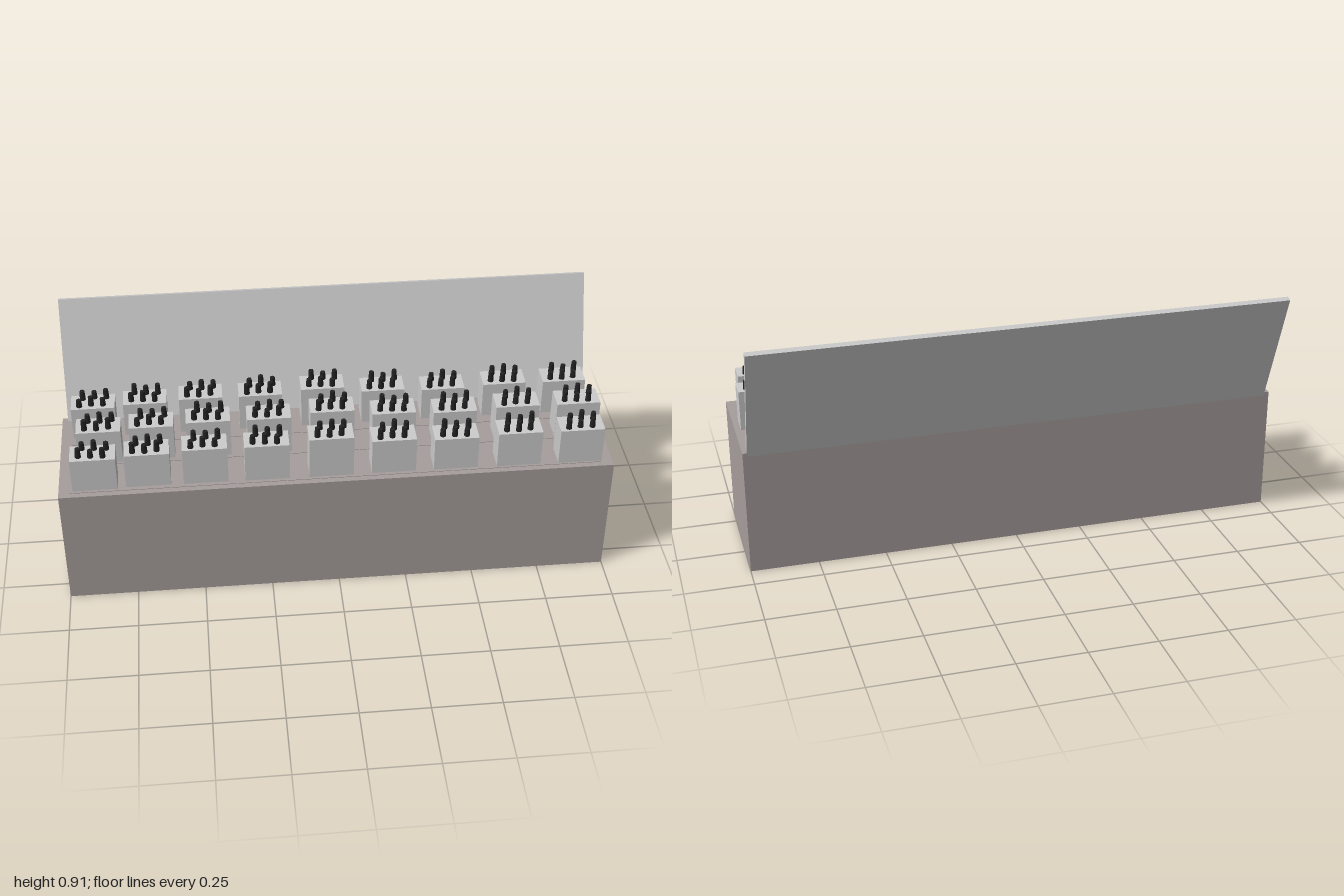
import * as THREE from 'three';

const GREY = new THREE.MeshStandardMaterial({ color: 0xcccccc });
const BROWN = new THREE.MeshStandardMaterial({ color: 0xa69d9c });
const BLACK = new THREE.MeshStandardMaterial({ color: 0x222222 });

function box(name, w, h, d, x, y, z, material) {
  const mesh = new THREE.Mesh(new THREE.BoxGeometry(w, h, d), material);
  mesh.name = name;
  mesh.position.set(x, y, z);
  return mesh;
}

// Carton with two rows of three bottle necks poking out of the top
function makeCarton(height, seed) {
  const carton = new THREE.Group();
  carton.name = 'carton';
  carton.add(box('cartonBox', 0.16, height, 0.088, 0, height / 2, 0, GREY));
  for (let i = 0; i < 6; i++) {
    const col = i % 3, row = Math.floor(i / 3);
    const h = 0.03 + 0.004 * ((i * 2 + seed) % 4);
    const neck = new THREE.Mesh(new THREE.CylinderGeometry(0.009, 0.011, h, 8), BLACK);
    neck.name = 'bottleNeck';
    neck.position.set((col - 1) * 0.043 + (row ? -0.006 : 0.006), height + h / 2,
      (row ? 0.022 : -0.022) + 0.003 * ((i + seed) % 3 - 1));
    carton.add(neck);
  }
  return carton;
}

export function createModel() {
  const model = new THREE.Group();
  model.name = 'openChest';

  // Chest body
  model.add(box('chestBody', 2, 0.47, 0.474, 0, 0.235, 0.083, BROWN));

  // Flat strips that the carton rows stand on
  for (const [z, depth] of [[-0.055, 0.15], [0.098, 0.09], [0.248, 0.1]]) {
    model.add(box('rowStrip', 1.92, 0.004, depth, 0, 0.47, z, BROWN));
  }

  // Lid leaning back from the rear edge
  const lid = box('lid', 1.965, 0.47, 0.021, 0.003, 0.682, -0.226, GREY);
  lid.rotation.x = -0.352;
  model.add(lid);

  // Three rows of nine cartons, each column with its own height and shift
  const columns = [-0.87, -0.68, -0.475, -0.255, -0.025, 0.2, 0.425, 0.655, 0.88];
  const tops = [0.605, 0.61, 0.62, 0.62, 0.637, 0.613, 0.605, 0.615, 0.614];
  const shifts = [-0.004, -0.01, -0.009, -0.007, -0.005, -0.006, -0.005, -0.002, 0];
  const rows = [{ z: 0.248, dx: 0, dy: 0 }, { z: 0.092, dx: 0.018, dy: 0.004 }, { z: -0.062, dx: -0.004, dy: -0.002 }];
  rows.forEach((row, r) => columns.forEach((x, c) => {
    const carton = makeCarton(tops[c] + row.dy - 0.46, r + c);
    carton.position.set(x + row.dx, 0.46, row.z + shifts[c]);
    model.add(carton);
  }));

  return model;
}
